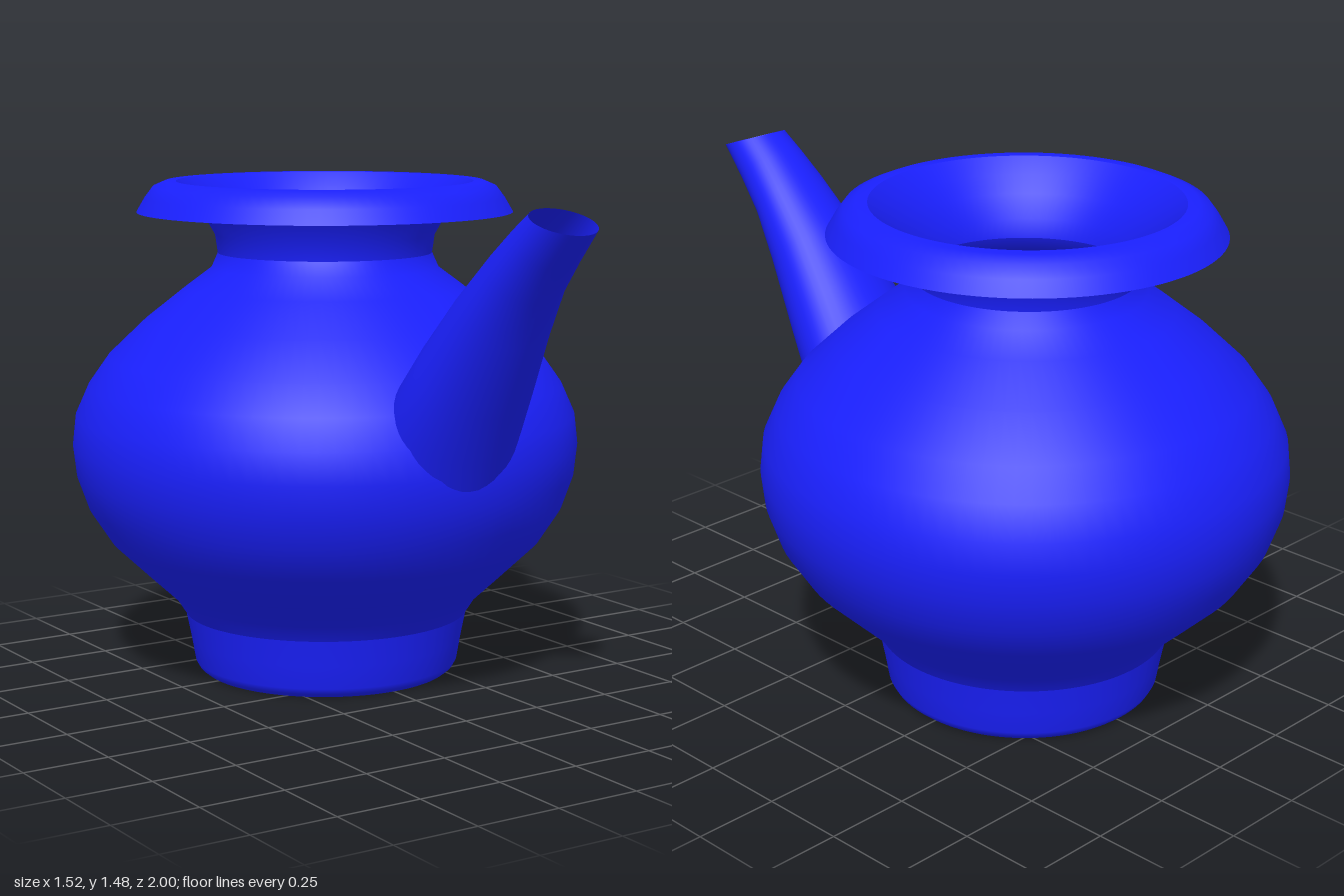
import * as THREE from 'three';

const SEGMENTS = 96;
const AXIS_Z = -0.24; // the pot sits behind the centre, the spout reaches forward

export function createModel() {
  const model = new THREE.Group();
  const material = new THREE.MeshStandardMaterial({ color: 0x1a20ff, side: THREE.DoubleSide });

  function add(name, geometry) {
    const mesh = new THREE.Mesh(geometry, material);
    mesh.name = name;
    mesh.position.z = AXIS_Z;
    model.add(mesh);
  }
  const turned = (name, profile) =>
    add(name, new THREE.LatheGeometry(profile.map(([r, y]) => new THREE.Vector2(r, y)), SEGMENTS));

  // Thin-walled pot, split where the surface has a crease
  turned('base', [[0, 0], [0.375, 0]]);
  turned('foot', [[0.375, 0], [0.39, 0.012], [0.4, 0.03], [0.412, 0.1], [0.428, 0.18]]);
  turned('belly', [
    [0.428, 0.18], [0.46, 0.23], [0.54, 0.305], [0.65, 0.41], [0.715, 0.51], [0.75, 0.61],
    [0.76, 0.7], [0.75, 0.79], [0.71, 0.88], [0.65, 0.965], [0.54, 1.07], [0.42, 1.165],
    [0.34, 1.225], [0.32, 1.27],
  ]);
  turned('neck', [[0.32, 1.27], [0.328, 1.325], [0.365, 1.39], [0.4, 1.44], [0.442, 1.483]]);
  // Lip curls over and hangs down outside the neck
  turned('lip', [[0.56, 1.392], [0.535, 1.435], [0.51, 1.468], [0.475, 1.483], [0.442, 1.483]]);

  add('spout', spoutGeometry());
  return model;
}

// Open tapering tube lofted through slanted ellipses
function spoutGeometry() {
  // lower z, lower y, upper z, upper y, half width
  const sections = [
    [0.48, 0.58, 0.27, 0.89, 0.21],
    [0.55, 0.74, 0.36, 1.0, 0.206],
    [0.63, 0.88, 0.44, 1.1, 0.185],
    [0.74, 1.08, 0.56, 1.23, 0.152],
    [0.82, 1.21, 0.7, 1.36, 0.124],
    [0.91, 1.31, 0.77, 1.42, 0.108],
    [1.0, 1.405, 0.83, 1.465, 0.095],
  ];
  const around = 48;
  const positions = [];
  const indices = [];
  sections.forEach(([lz, ly, uz, uy, w], i) => {
    for (let j = 0; j < around; j++) {
      const t = (j / around) * Math.PI * 2;
      const s = Math.sin(t) / 2;
      positions.push(
        w * Math.cos(t),
        (ly + uy) / 2 + s * (uy - ly),
        (lz + uz) / 2 + s * (uz - lz) - AXIS_Z,
      );
      if (i === sections.length - 1) continue;
      const a = i * around + j;
      const b = i * around + ((j + 1) % around);
      indices.push(a, b, a + around, b, b + around, a + around);
    }
  });
  const geometry = new THREE.BufferGeometry();
  geometry.setAttribute('position', new THREE.Float32BufferAttribute(positions, 3));
  geometry.setIndex(indices);
  geometry.computeVertexNormals();
  return geometry;
}
